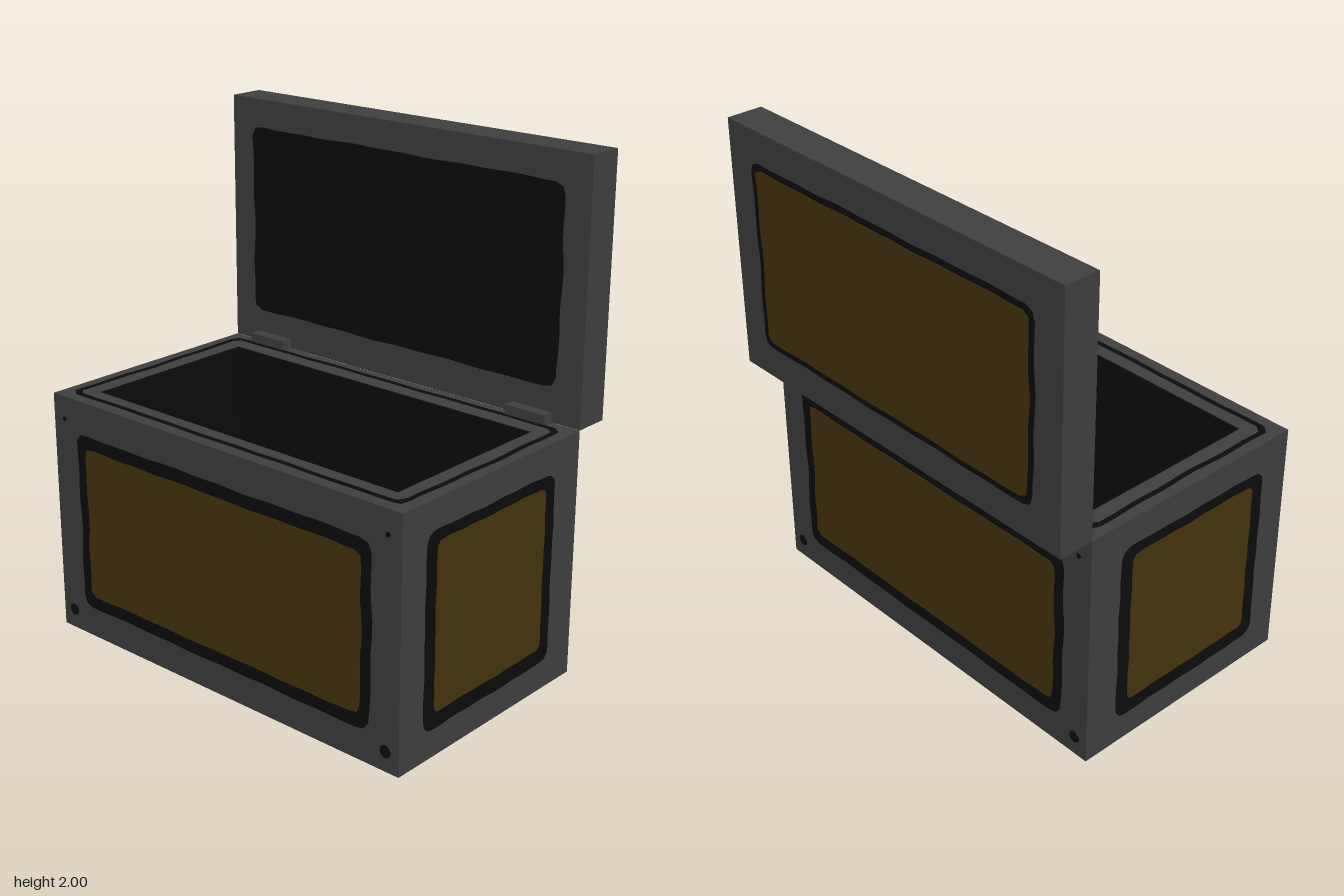
import * as THREE from 'three';

const mat = (name, color) => {
  const m = new THREE.MeshStandardMaterial({ color });
  m.name = name;
  return m;
};

export function createModel() {
  const steel = mat('dark grey steel', 0x404040);
  const black = mat('black', 0x0c0c0c);
  const gold = mat('dull gold', 0x47340e);
  const model = new THREE.Group();

  const add = (parent, name, geometry, material, x = 0, y = 0, z = 0) => {
    const mesh = new THREE.Mesh(geometry, material);
    mesh.name = name;
    mesh.position.set(x, y, z);
    parent.add(mesh);
    return mesh;
  };
  const box = (parent, name, material, w, h, d, x, y, z) =>
    add(parent, name, new THREE.BoxGeometry(w, h, d), material, x, y, z);

  // Rounded rectangle with slightly worn, uneven edges
  const wornRect = (w, h, r, wear) => {
    const base = new THREE.Shape();
    const x = w / 2, y = h / 2;
    base.moveTo(-x + r, -y);
    base.lineTo(x - r, -y);
    base.absarc(x - r, -y + r, r, -Math.PI / 2, 0);
    base.lineTo(x, y - r);
    base.absarc(x - r, y - r, r, 0, Math.PI / 2);
    base.lineTo(-x + r, y);
    base.absarc(-x + r, y - r, r, Math.PI / 2, Math.PI);
    base.lineTo(-x, -y + r);
    base.absarc(-x + r, -y + r, r, Math.PI, Math.PI * 1.5);
    const points = base.getSpacedPoints(120).slice(0, -1);
    points.forEach((p, i) => {
      const s = 1 + wear * (Math.sin(i * 0.9) + Math.sin(i * 0.37 + 2));
      p.x *= s;
      p.y *= s;
    });
    return new THREE.Shape(points);
  };
  const plate = (parent, name, material, w, h, r, depth, y = 0, x = 0) => add(parent, name,
    new THREE.ExtrudeGeometry(wornRect(w, h, r, 0.004), { depth, bevelEnabled: false }),
    material, x, y, 0);

  // A face group: its +z points out of the chosen side
  const face = (name, x, y, z, turn) => {
    const g = new THREE.Group();
    g.name = name;
    g.position.set(x, y, z);
    g.rotation.y = turn;
    model.add(g);
    return g;
  };

  // Body walls around the opening
  const W = 1.74, D = 1.01, H = 0.985, CZ = 0.075;
  const rect = (P, w, h) => new P([[-w, -h], [w, -h], [w, h], [-w, h]]
    .map(([a, b]) => new THREE.Vector2(a / 2, b / 2)));
  const wallShape = rect(THREE.Shape, W, D);
  wallShape.holes.push(rect(THREE.Path, 1.49, 0.76));
  const walls = new THREE.ExtrudeGeometry(wallShape, { depth: H, bevelEnabled: false });
  walls.rotateX(-Math.PI / 2);
  add(model, 'bodyWalls', walls, steel, 0, 0, CZ);
  box(model, 'bodyBottom', steel, 1.49, 0.08, 0.76, 0, 0.04, CZ);

  // Black lining of the inside
  box(model, 'liningFloor', black, 1.49, 0.006, 0.76, 0, 0.083, CZ);
  for (const s of [-1, 1]) {
    box(model, 'liningSide', black, 0.006, 0.9, 0.76, s * 0.742, 0.533, CZ);
    box(model, 'liningLong', black, 1.48, 0.9, 0.006, 0, 0.533, CZ + s * 0.377);
  }

  // Worn seal line on the rim
  const seal = wornRect(1.65, 0.92, 0.03, 0.003);
  seal.holes.push(wornRect(1.61, 0.88, 0.03, 0.003));
  const sealGeometry = new THREE.ExtrudeGeometry(seal, { depth: 0.002, bevelEnabled: false });
  sealGeometry.rotateX(-Math.PI / 2);
  add(model, 'rimSeal', sealGeometry, black, 0, H, CZ - 0.005);

  // Gold panels with black borders on the long sides, with screws in the corners
  for (const [name, z, turn] of [['front', 0.576, 0], ['back', -0.426, Math.PI]]) {
    const g = face(name + 'Panel', 0, 0, z, turn);
    plate(g, 'panelBorder', black, 1.48, 0.725, 0.045, 0.006, 0.488);
    plate(g, 'panelFill', gold, 1.39, 0.62, 0.025, 0.008, 0.488);
    for (const s of [-1, 1]) {
      for (const [r, y] of [[0.024, 0.08], [0.01, 0.893]]) {
        const screw = new THREE.CylinderGeometry(r, r, 0.006, 12);
        screw.rotateX(Math.PI / 2);
        add(g, 'screw', screw, black, s * 0.81, y, 0.004);
      }
    }
  }

  // Panels on the short sides
  for (const s of [-1, 1]) {
    const g = face(s > 0 ? 'leftPanel' : 'rightPanel', s * 0.866, 0, 0.084, s * Math.PI / 2);
    plate(g, 'panelBorder', black, 0.735, 0.755, 0.045, 0.006, 0.49);
    plate(g, 'panelFill', gold, 0.625, 0.65, 0.025, 0.008, 0.5);
  }

  // Open lid standing behind the body
  box(model, 'lid', steel, W, 1.015, 0.147, 0, 1.4925, -0.5045);
  const lidInside = face('lidInside', 0, 0, -0.435, 0);
  plate(lidInside, 'lidLining', black, 1.52, 0.765, 0.04, 0.006, 1.503);
  const lidBack = face('lidBack', 0, 0, -0.574, Math.PI);
  plate(lidBack, 'lidBorder', black, 1.48, 0.755, 0.04, 0.006, 1.495);
  plate(lidBack, 'lidFill', gold, 1.43, 0.705, 0.025, 0.008, 1.495);

  // Hinges with small dark knuckles behind
  for (const s of [-1, 1]) {
    const x = s * 0.655;
    box(model, 'hinge', steel, 0.18, 0.04, 0.05, x, 1.005, -0.41);
    box(model, 'hingeLeaf', steel, 0.18, 0.03, 0.02, x, 0.97, -0.44);
    for (const k of [-1, 0, 1]) {
      const knuckle = new THREE.CylinderGeometry(0.016, 0.016, 0.03, 10);
      knuckle.rotateZ(Math.PI / 2);
      add(model, 'hingeKnuckle', knuckle, black, x + k * 0.06, 0.968, -0.442);
    }
  }
  return model;
}
